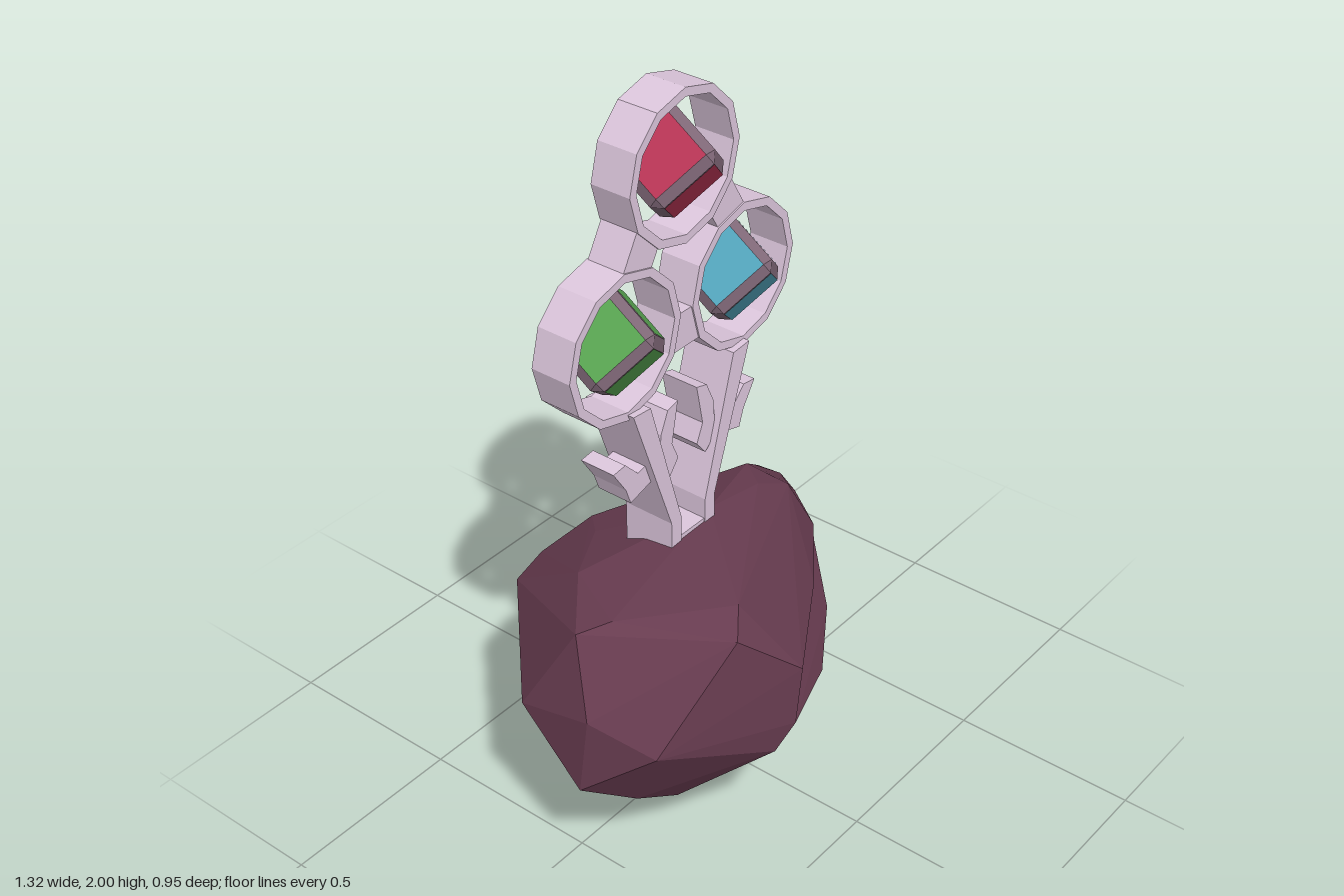
import * as THREE from 'three';
import { ConvexGeometry } from 'three/addons/geometries/ConvexGeometry.js';

const mat = (color) => new THREE.MeshStandardMaterial({ color, flatShading: true });
const stoneMat = mat(0x683c50), metalMat = mat(0xdcc6dc), frameMat = mat(0x806878);
const AXIS = -0.153; // mirror line of the ornament

function add(parent, name, geometry, material) {
  const mesh = new THREE.Mesh(geometry, material);
  mesh.name = name;
  parent.add(mesh);
  return mesh;
}

const hull = (...lists) =>
  new ConvexGeometry(lists.flat().map((p) => new THREE.Vector3(...p)));

// Flat outline given depth from z0 to z1
function slab(shape, z0, z1) {
  return new THREE.ExtrudeGeometry(shape, { depth: z1 - z0, bevelEnabled: false }).translate(0, 0, z0);
}
const outline = (pts) => new THREE.Shape(pts.map(([x, y]) => new THREE.Vector2(x, y)));
const polygon = (r, n) => Array.from({ length: n }, (_, i) => {
  const a = (i / n) * Math.PI * 2;
  return [r * Math.cos(a), r * Math.sin(a)];
});

// Boulder: overlapping faceted lumps that share a belt of points
function createBoulder() {
  const crown = [
    [-0.66, 0.615, 0.18], [-0.6, 0.8, 0.1], [-0.53, 0.82, 0.15], [-0.38, 0.79, 0.4],
    [-0.3, 0.82, 0.34], [-0.055, 0.835, 0.06], [-0.225, 0.65, 0.475], [-0.42, 0.8, -0.05],
    [0.165, 0.775, 0.04], [0.235, 0.76, -0.05], [0.28, 0.715, 0.05], [0.295, 0.715, -0.07],
    [0.1, 0.61, 0.27], [0.33, 0.58, 0.1], [0.39, 0.635, -0.13], [0.45, 0.59, -0.1],
    [-0.2, 0.73, -0.19], [-0.1, 0.675, -0.29], [-0.25, 0.63, -0.33], [-0.365, 0.62, -0.31],
    [-0.445, 0.65, -0.185],
  ];
  const belt = [
    [-0.645, 0.55, -0.04], [-0.66, 0.39, 0.15], [-0.585, 0.53, 0.325], [-0.24, 0.49, 0.47],
    [0.4, 0.5, 0.045], [0.49, 0.52, -0.08], [0.525, 0.39, -0.21], [0.25, 0.445, -0.415],
    [-0.095, 0.5, -0.36], [-0.26, 0.53, -0.355],
  ];
  const keel = [
    [-0.28, 0.41, 0.44], [0.035, 0.41, 0.35], [0.24, 0.42, 0.215], [0.38, 0.07, 0],
    [0.3, 0.07, 0.12], [0.23, 0.07, 0.145], [-0.5, 0.27, 0.19], [-0.36, 0.185, 0.2],
    [-0.2, 0.25, 0.3], [-0.115, 0.095, 0.14], [0, 0.07, 0.14], [0.07, 0.05, 0.025],
    [0.05, 0.07, -0.11], [-0.57, 0.325, 0.08], [-0.44, 0.25, -0.08], [-0.118, 0.115, -0.15],
    [-0.15, 0.2, -0.28],
  ];
  const tail = [
    [0.66, 0.35, -0.345], [0.66, 0.205, -0.345], [0.6, 0.3, -0.42], [0.455, 0.235, -0.475],
    [0.25, 0.445, -0.415], [0.45, 0.59, -0.1], [0.525, 0.39, -0.21], [0.45, 0.075, -0.3],
    [0.28, 0.005, -0.335], [0.24, 0.015, -0.38], [0.19, 0.015, -0.3], [0.07, 0.06, 0],
    [0.44, 0.075, -0.1], [-0.02, 0.55, -0.2],
  ];
  const boulder = new THREE.Group();
  boulder.name = 'boulder';
  add(boulder, 'boulderTop', hull(crown, belt), stoneMat);
  add(boulder, 'boulderBottom', hull(belt, keel), stoneMat);
  add(boulder, 'boulderTail', hull(tail), stoneMat);
  return boulder;
}

// Cube with bevelled frame and six coloured panels, tipped onto a corner
function createGem(color) {
  const gem = new THREE.Group(), a = 0.094, b = 0.072, pts = [];
  gem.name = 'gem';
  for (const x of [-1, 1]) for (const y of [-1, 1]) for (const z of [-1, 1]) {
    pts.push([x * a, y * b, z * b], [x * b, y * a, z * b], [x * b, y * b, z * a]);
  }
  add(gem, 'gemFrame', hull(pts), frameMat);
  const panelMat = mat(color);
  for (let i = 0; i < 6; i++) {
    const panel = new THREE.PlaneGeometry(2 * b, 2 * b).translate(0, 0, a + 0.0015);
    if (i < 4) panel.rotateY((i * Math.PI) / 2);
    else panel.rotateX(i === 4 ? Math.PI / 2 : -Math.PI / 2);
    add(gem, 'gemPanel', panel, panelMat);
  }
  gem.rotation.set(-0.98, Math.PI / 4, 0);
  return gem;
}

export function createModel() {
  const model = new THREE.Group();
  model.add(createBoulder());

  // Three rings, each holding a gem
  const ringShape = outline(polygon(0.19, 12));
  ringShape.holes.push(new THREE.Path(polygon(0.168, 12).reverse().map(([x, y]) => new THREE.Vector2(x, y))));
  const settings = [[AXIS, 1.81, 0xb83555], [AXIS - 0.211, 1.445, 0x58a451], [AXIS + 0.211, 1.445, 0x53a5bc]];
  for (const [x, y, color] of settings) {
    add(model, 'ring', slab(ringShape, -0.04, 0.07), metalMat).position.set(x, y, 0);
    const gem = createGem(color);
    gem.position.set(x, y, 0.013);
    model.add(gem);
  }

  // Wedges joining the rings, turned about the middle of the trio
  const wedge = outline([[-0.055, -0.217], [0.055, -0.217], [0.03, -0.122], [-0.03, -0.122]]);
  for (let i = 0; i < 3; i++) {
    const joint = add(model, 'ringJoint', slab(wedge, -0.036, 0.066), metalMat);
    joint.position.set(AXIS, 1.567, 0);
    joint.rotation.z = (i * Math.PI * 2) / 3;
  }

  // Stems and hooked leaves, drawn as offsets from the mirror line
  const stem = [[0.045, 0.78], [0.082, 0.78], [0.082, 0.9], [0.212, 1.27], [0.152, 1.265], [0.045, 0.9]];
  const outerLeaf = [[0.09, 1.05], [0.115, 1.045], [0.204, 1.02], [0.22, 1.065], [0.262, 1.13],
    [0.22, 1.135], [0.177, 1.09], [0.127, 1.1]];
  const innerLeaf = [[0.035, 1.22], [0.057, 1.11], [0.035, 1.06], [0.067, 1.02], [0.11, 1.06],
    [0.102, 1.1], [0.097, 1.155], [0.072, 1.21]];
  for (const side of [-1, 1]) {
    const place = (pts) => outline(pts.map(([x, y]) => [AXIS + side * x, y]));
    add(model, 'stem', slab(place(stem), -0.055, 0.087), metalMat);
    add(model, 'outerLeaf', slab(place(outerLeaf), -0.032, 0.066), metalMat);
    add(model, 'innerLeaf', slab(place(innerLeaf), -0.035, 0.07), metalMat);
  }

  // Foot plate between the stems
  add(model, 'footPlate', new THREE.BoxGeometry(0.12, 0.07, 0.136).translate(AXIS, 0.808, 0.016), metalMat);
  return model;
}
